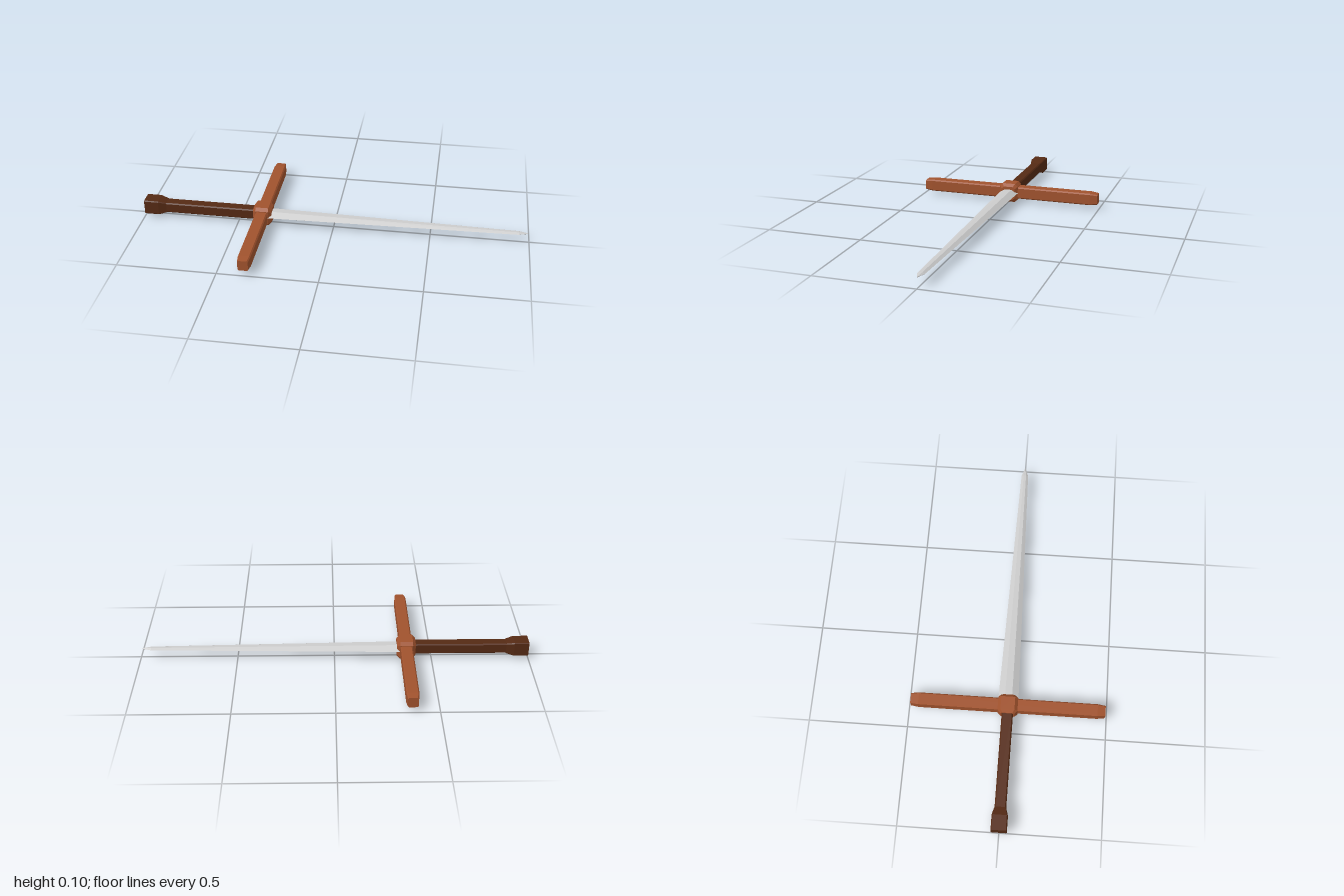
import * as THREE from 'three';

const MID_Y = 0.051;

// Cross-section outlines as unit [y, z] points, turning from +y towards +z
const chamferedSquare = (c) => {
  const k = 1 - c;
  return [[1, -k], [1, k], [k, 1], [-k, 1], [-1, k], [-1, -k], [-k, -1], [k, -1]];
};
const bladeOutline = [[1, -0.36], [1, 0.36], [0, 1], [-1, 0.36], [-1, -0.36], [0, -1]];

// Faceted loft along x; each station is [x, halfHeight, halfDepth]
function loft(outline, stations) {
  const pos = [];
  const n = outline.length;
  const rings = stations.map(([x, h, d]) => outline.map(([y, z]) => [x, y * h, z * d]));
  const tri = (...corners) => corners.forEach((p) => pos.push(...p));
  for (let s = 0; s < rings.length - 1; s++) {
    for (let i = 0; i < n; i++) {
      const j = (i + 1) % n;
      const a = rings[s][i], b = rings[s][j], c = rings[s + 1][j], d = rings[s + 1][i];
      tri(a, b, c);
      tri(a, c, d);
    }
  }
  const first = rings[0], last = rings[rings.length - 1];
  for (let i = 1; i < n - 1; i++) {
    tri(first[0], first[i + 1], first[i]);
    tri(last[0], last[i], last[i + 1]);
  }
  const geo = new THREE.BufferGeometry();
  geo.setAttribute('position', new THREE.Float32BufferAttribute(pos, 3));
  geo.computeVertexNormals();
  return geo;
}

export function createModel() {
  const group = new THREE.Group();
  const steel = new THREE.MeshStandardMaterial({ color: 0xcccccc, flatShading: true });
  const wood = new THREE.MeshStandardMaterial({ color: 0xa0522d, flatShading: true });
  const darkWood = new THREE.MeshStandardMaterial({ color: 0x552a14, flatShading: true });

  const add = (name, geometry, material, x = 0) => {
    const mesh = new THREE.Mesh(geometry, material);
    mesh.name = name;
    mesh.position.set(x, MID_Y, 0);
    group.add(mesh);
    return mesh;
  };

  // Tapered blade with a short point
  add('blade', loft(bladeOutline, [
    [-0.34, 0.021, 0.051], [0.945, 0.007, 0.018], [0.99, 0.002, 0.002],
  ]), steel);

  // Grip and flared pommel
  add('grip', loft(chamferedSquare(0.2), [
    [-0.9, 0.028, 0.028], [-0.39, 0.028, 0.028],
  ]), darkWood);
  add('pommel', loft(chamferedSquare(0.12), [
    [-1, 0.039, 0.039], [-0.925, 0.039, 0.039], [-0.885, 0.028, 0.028],
  ]), darkWood);

  // Crossguard bar, narrowed at both ends, turned to run along z
  const guard = add('crossguard', loft(chamferedSquare(0.2), [
    [-0.49, 0.027, 0.026], [-0.45, 0.032, 0.031], [0.45, 0.032, 0.031], [0.49, 0.027, 0.026],
  ]), wood, -0.369);
  guard.rotation.y = Math.PI / 2;

  // Chamfered block where the parts meet
  add('guardBlock', loft(chamferedSquare(0.3), [
    [-0.048, 0.036, 0.036], [-0.033, 0.051, 0.05], [0.033, 0.051, 0.05], [0.048, 0.036, 0.036],
  ]), wood, -0.369);

  return group;
}
